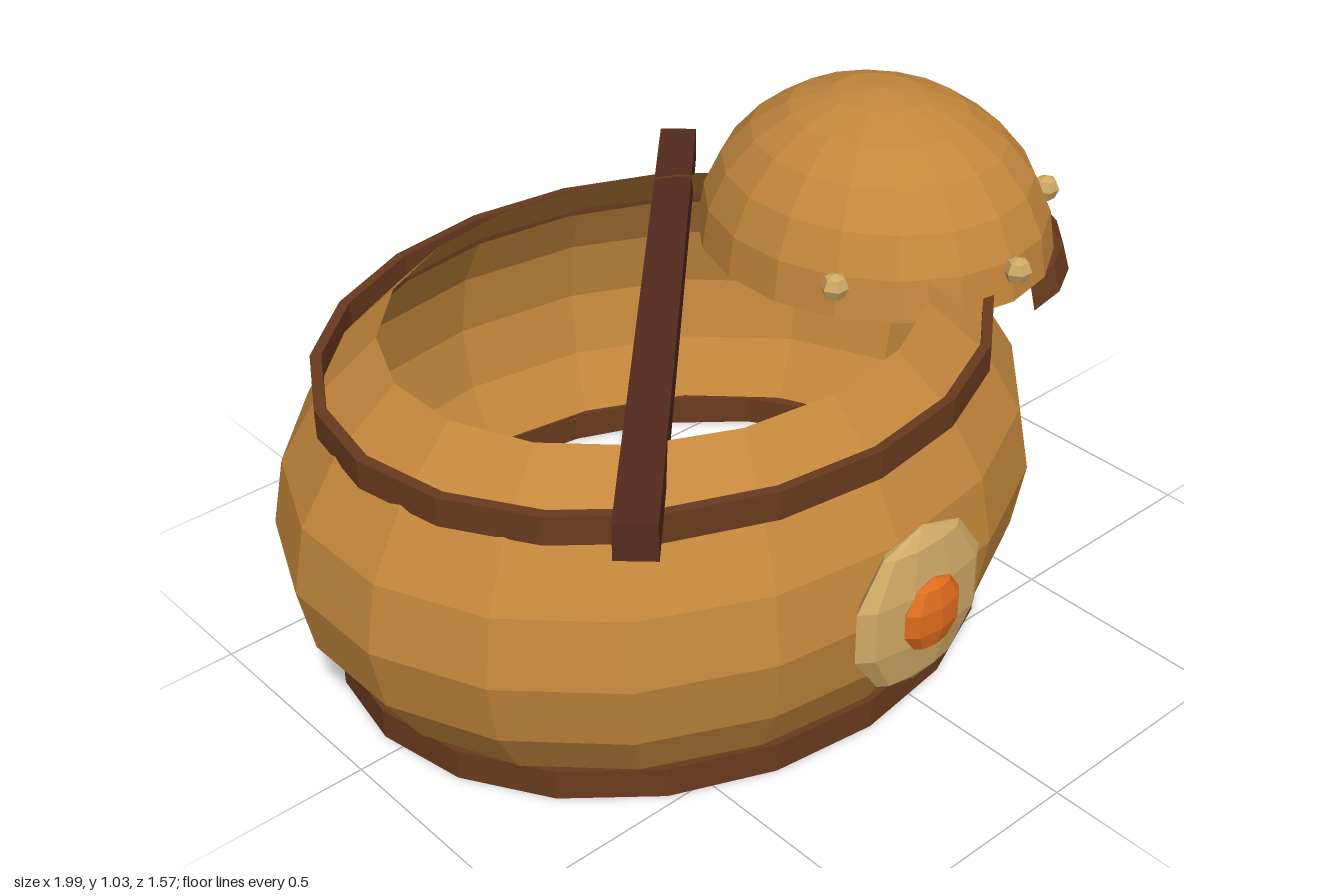
import * as THREE from 'three';

const material = (color) =>
  new THREE.MeshStandardMaterial({ color, flatShading: true, side: THREE.DoubleSide });
const gold = material(0xc4873c);
const brown = material(0x6a3a1e);
const darkWood = material(0x552a1e);
const pale = material(0xd0aa66);
const orange = material(0xe06c1c);

export function createModel() {
  const model = new THREE.Group();
  const rad = THREE.MathUtils.degToRad;

  const add = (name, geometry, mat, position, scale = [1, 1, 1]) => {
    const mesh = new THREE.Mesh(geometry, mat);
    mesh.name = name;
    mesh.position.set(...position);
    mesh.scale.set(...scale);
    model.add(mesh);
    return mesh;
  };

  // Hollow oval bowl: a squashed sphere open at both ends
  const bowlX = -0.135, bowlZ = -0.05;
  add('bowl',
    new THREE.SphereGeometry(1, 18, 5, Math.PI / 2, Math.PI * 2, rad(45), rad(75)),
    gold, [bowlX, 0.35, bowlZ], [0.878, 0.58, 0.735]);

  // Thin bands round the foot and the shoulder
  const band = (name, y, height) => {
    const profile = [[0.745, 0], [0.77, 0], [0.77, height], [0.745, height], [0.745, 0]]
      .map(([r, h]) => new THREE.Vector2(r, h));
    add(name, new THREE.LatheGeometry(profile, 20), brown, [bowlX, y, bowlZ], [1, 1, 0.851]);
  };
  band('footBand', 0, 0.07);
  band('shoulderBand', 0.63, 0.065);

  // Square bar lying across the opening
  const from = new THREE.Vector3(-0.72, 0.74, 0.56);
  const to = new THREE.Vector3(0.447, 0.705, -0.655);
  const mid = from.clone().add(to).multiplyScalar(0.5);
  add('crossBar', new THREE.BoxGeometry(0.085, 0.08, from.distanceTo(to)), darkWood, mid.toArray())
    .lookAt(to);

  // Domed cap resting on the edge of the bowl
  const capX = 0.525, capZ = -0.065;
  add('capDome',
    new THREE.SphereGeometry(1, 18, 6, Math.PI / 2, Math.PI * 2, 0, Math.PI / 2),
    gold, [capX, 0.665, capZ], [0.39, 0.365, 0.425]);

  // Brim: half of a shallow dome under the outer side of the cap
  add('capBrim',
    new THREE.SphereGeometry(1, 10, 5, Math.PI / 2, Math.PI, 0, Math.PI / 2),
    brown, [0.645, 0.58, -0.0625], [0.35, 0.21, 0.3875]);

  // Three studs along the front of the cap
  for (const angle of [-60, 0, 60]) {
    const a = rad(angle);
    add('capStud', new THREE.SphereGeometry(0.032, 6, 4), pale,
      [capX + 0.395 * Math.sin(a), 0.745, capZ + 0.43 * Math.cos(a)]);
  }

  // Medallion with its gem on the front of the bowl
  add('medallion', new THREE.SphereGeometry(1, 10, 5), pale,
    [bowlX, 0.39, 0.717], [0.182, 0.19, 0.042]);
  add('medallionGem', new THREE.SphereGeometry(1, 8, 5), orange,
    [bowlX, 0.39, 0.755], [0.08, 0.085, 0.03]);

  return model;
}
